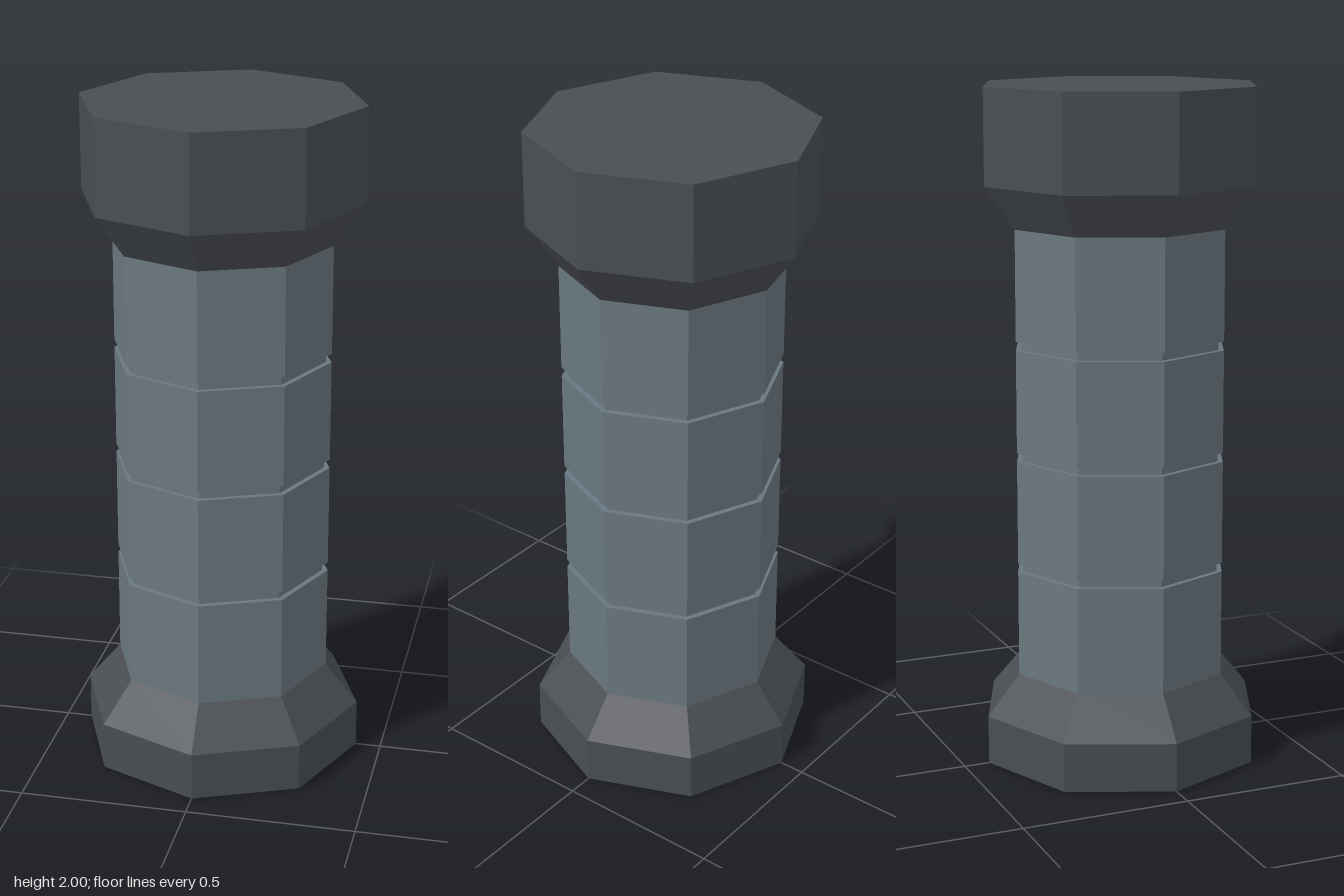
import * as THREE from 'three';

const SIDES = 8;

export function createModel() {
  const model = new THREE.Group();
  model.name = 'octagonalPillar';

  const darkStone = new THREE.MeshStandardMaterial({ color: 0x4a4e52, flatShading: true });
  darkStone.name = 'darkStone';
  const blueGreyStone = new THREE.MeshStandardMaterial({ color: 0x6a7780, flatShading: true });
  blueGreyStone.name = 'blueGreyStone';

  // Octagonal turned part from a [radius, height] profile, bottom to top
  function addTurned(name, profile, material) {
    const points = profile.map(([r, y]) => new THREE.Vector2(r, y));
    const mesh = new THREE.Mesh(new THREE.LatheGeometry(points, SIDES), material);
    mesh.name = name;
    model.add(mesh);
  }

  // Plinth with a sloped shoulder
  addTurned('base', [[0, 0], [0.424, 0], [0.424, 0.145], [0.325, 0.265]], darkStone);

  // Shaft blocks separated by three shallow grooves
  const shaftRadius = 0.325, grooveRadius = 0.308, grooveHalf = 0.013;
  const shaft = [[shaftRadius, 0.265]];
  for (const y of [0.595, 0.928, 1.258]) {
    shaft.push(
      [shaftRadius, y - grooveHalf], [grooveRadius, y - grooveHalf],
      [grooveRadius, y + grooveHalf], [shaftRadius, y + grooveHalf]
    );
  }
  shaft.push([shaftRadius, 1.595]);
  addTurned('shaft', shaft, blueGreyStone);

  // Flared capital with a flat top
  addTurned('capital', [[0.325, 1.595], [0.415, 1.72], [0.415, 2], [0, 2]], darkStone);

  return model;
}
